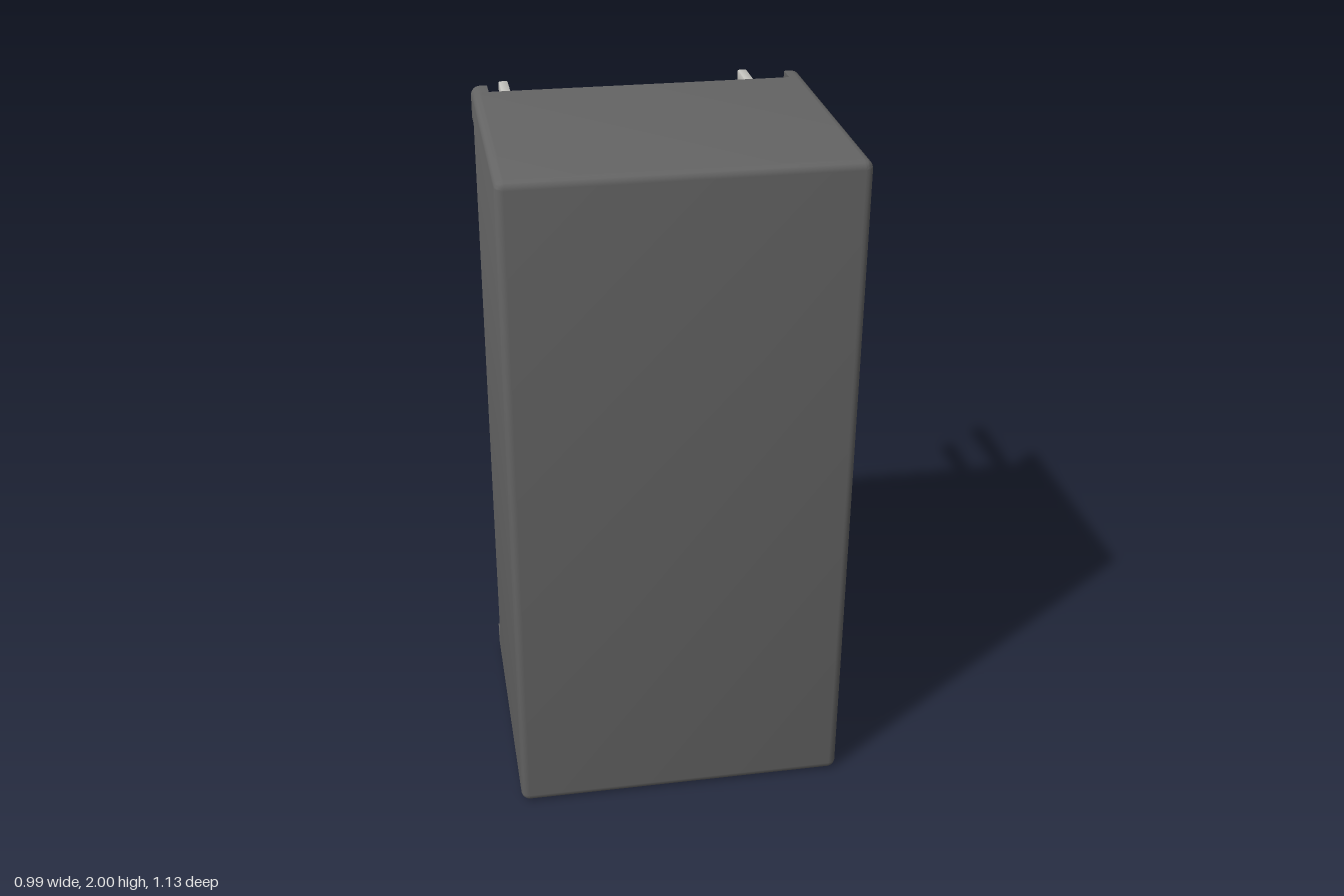
import * as THREE from 'three';
import { toCreasedNormals } from 'three/addons/utils/BufferGeometryUtils.js';

const W = 0.986, H = 2, FRONT = 0.565, BACK = -0.19, R = 0.026;

const bodyMat = new THREE.MeshStandardMaterial({ color: 0x646464 });
const pinMat = new THREE.MeshStandardMaterial({ color: 0xcccbc6 });

// Centred rectangle with rounded corners
function roundedRect(w, h, r) {
  const x = w / 2 - r, y = h / 2 - r, s = new THREE.Shape();
  s.absarc(x, y, r, 0, Math.PI / 2);
  s.absarc(-x, y, r, Math.PI / 2, Math.PI);
  s.absarc(-x, -y, r, Math.PI, Math.PI * 1.5);
  s.absarc(x, -y, r, Math.PI * 1.5, Math.PI * 2);
  s.closePath();
  return s;
}

// Bar along +z from 0 to depth: softened far end, flat sharp near end
function softEndBar(w, h, depth, r, segments) {
  const bevel = r * 0.92;
  const geo = new THREE.ExtrudeGeometry(roundedRect(w, h, r), {
    depth: depth - bevel, curveSegments: segments,
    bevelThickness: bevel, bevelSize: bevel, bevelOffset: -bevel, bevelSegments: segments,
  });
  const p = geo.attributes.position;
  for (let i = 0; i < p.count; i++) p.setZ(i, Math.max(0, p.getZ(i)));
  return toCreasedNormals(geo, 0.7);
}

// Corner foot whose outer corner follows the rounding of the case
function footGeometry(sx, sy) {
  const x0 = W / 2, y0 = H / 2, x1 = x0 - 0.048, y1 = y0 - 0.094;
  const pts = [[x1, y1], [x0, y1]];
  for (let i = 0; i <= 4; i++) {
    const a = (i / 4) * Math.PI / 2;
    pts.push([x0 - R + R * Math.cos(a), y0 - R + R * Math.sin(a)]);
  }
  pts.push([x1, y0]);
  const shape = new THREE.Shape(pts.map(([x, y]) => new THREE.Vector2(sx * x, sy * y)));
  const geo = new THREE.ExtrudeGeometry(shape, { depth: 0.065, bevelEnabled: false });
  return toCreasedNormals(geo, 0.7);
}

export function createModel() {
  const model = new THREE.Group();
  const add = (name, geo, mat, x, y, z) => {
    const mesh = new THREE.Mesh(geo, mat);
    mesh.name = name;
    mesh.position.set(x, y, z);
    model.add(mesh);
    return mesh;
  };

  // Case with softened front and long edges
  add('case', softEndBar(W, H, FRONT - BACK, R, 4), bodyMat, 0, H / 2, BACK);

  // Four standoff feet at the back corners
  for (const sx of [-1, 1]) {
    for (const sy of [-1, 1]) {
      add('foot', footGeometry(sx, sy), bodyMat, 0, H / 2, BACK - 0.065);
    }
  }

  // Two rows of flat contact pins
  const pinGeo = softEndBar(0.029, 0.056, FRONT + BACK, 0.004, 2);
  for (const x of [-0.375, 0.385]) {
    for (const y of [0.111, 0.62, 1.128, 1.634, 1.889]) {
      add('contactPin', pinGeo, pinMat, x, y, BACK).rotation.y = Math.PI;
    }
  }
  return model;
}
